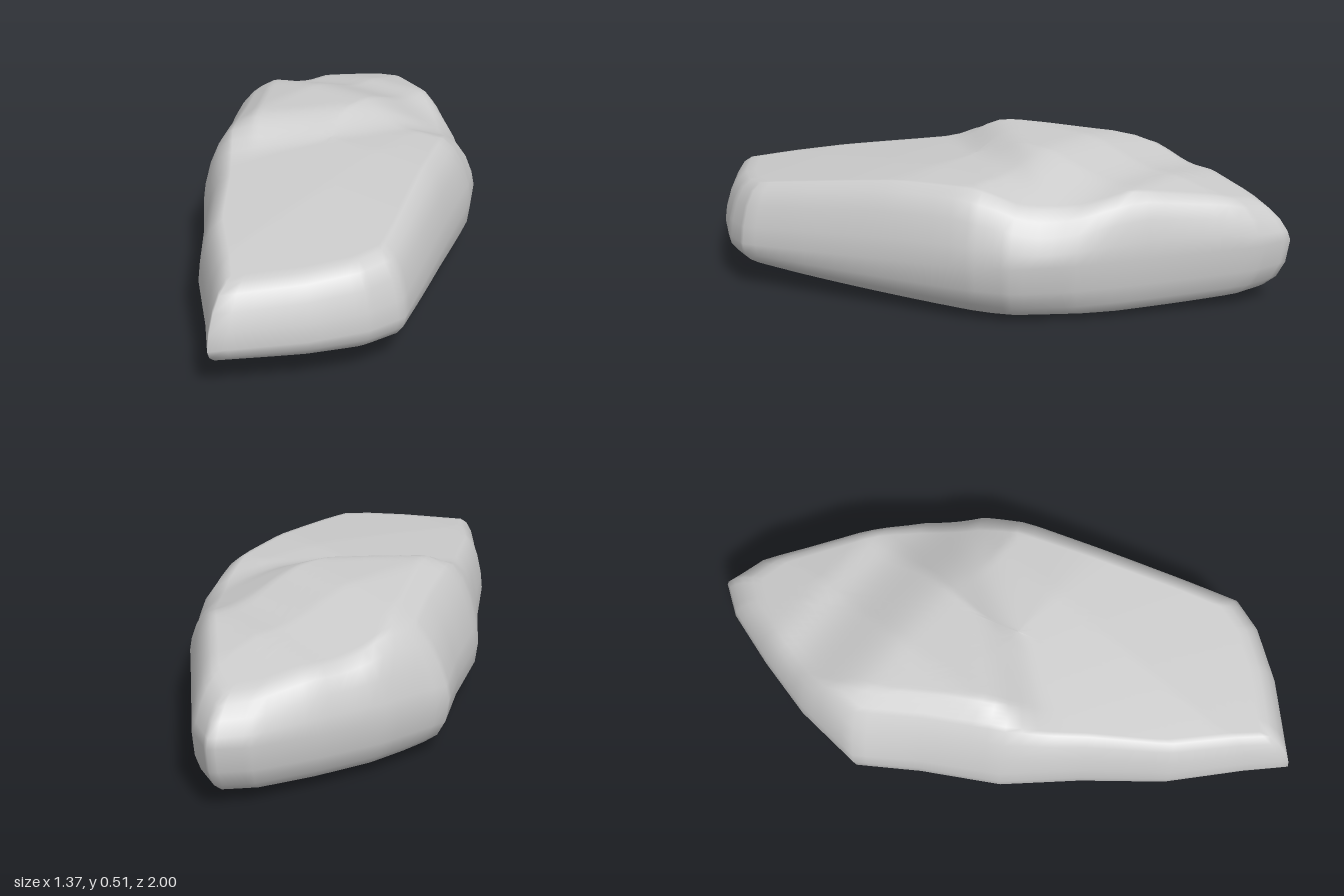
import * as THREE from 'three';

// Plan outline of the boulder (x, z), starting at the back tip
const OUTLINE = [
  [-0.49, -1], [-0.36, -0.96], [-0.09, -0.77], [0.17, -0.59], [0.33, -0.44], [0.40, -0.31], [0.50, -0.02],
  [0.60, 0.26], [0.68, 0.49], [0.64, 0.62], [0.53, 0.78], [0.32, 1], [0.21, 0.89], [0, 0.70], [-0.20, 0.46],
  [-0.40, 0.25], [-0.55, 0], [-0.685, -0.19], [-0.67, -0.45], [-0.62, -0.68], [-0.56, -0.89],
];
const SUBDIV = 5;
const { lerp, smoothstep, clamp } = THREE.MathUtils;

// Gently convex underside, rising towards the left and front ends
const bottomY = (x, z) => 0.045 * (z + 0.1) ** 2 + 0.06 * x * x
  + 0.12 * Math.max(0, x - 0.3) + 0.08 * Math.max(0, z - 0.6);
// Height of the widest line around the boulder
const middleY = (x, z) => 0.19 - 0.04 * z;

// Upper surface: a raised plateau at the back that eases over a crest to a sloping front slab
function topY(x, z) {
  const slab = 0.45 - 0.1 * Math.max(0, z) - 0.03 * z * z
    - 0.05 * Math.max(0, x - 0.2) - 0.3 * Math.max(0, -z - 0.25);
  const plateau = 0.51 - 0.075 * smoothstep(-z, 0.25, 0.58) - 0.22 * Math.max(0, -z - 0.65)
    - 0.15 * Math.max(0, -0.3 - x) - 0.35 * Math.max(0, x + 0.05)
    - 0.5 * Math.max(0, -0.84 * x + 0.54 * z - 0.28);
  const crest = 0.79 * x + 0.61 * z + 0.105;
  return lerp(plateau, slab, smoothstep(crest, -0.06, 0.14));
}

// Pull a point of the outline towards the long axis of the boulder
function inset([x, z], t) {
  const s = clamp((x * 0.25 + z * 0.5) / 0.3125, -1, 1);
  return [lerp(x, 0.25 * s, t), lerp(z, 0.5 * s, t)];
}

export function createModel() {
  const edge = OUTLINE.flatMap((p, i) => {
    const q = OUTLINE[(i + 1) % OUTLINE.length];
    return Array.from({ length: SUBDIV }, (_, k) => [lerp(p[0], q[0], k / SUBDIV), lerp(p[1], q[1], k / SUBDIV)]);
  });

  const positions = [], index = [];
  const addRing = (t, scale, height) => edge.forEach((p) => {
    const [x, z] = inset(p, t).map((v) => v * scale);
    positions.push(x, height(x, z), z);
  });

  // Underside, from its centre outwards
  for (let i = 0; i < 8; i++) addRing(0.24, i / 8, bottomY);
  // Rounded lower flank
  for (const [t, k] of [[0.24, 0], [0.15, 0.07], [0.07, 0.25], [0.02, 0.55]])
    addRing(t, 1, (x, z) => lerp(bottomY(x, z), middleY(x, z), k));
  // Rounded upper flank
  for (const [t, k] of [[0, 0], [0.02, 0.3], [0.07, 0.65], [0.14, 0.89], [0.22, 1]])
    addRing(t, 1, (x, z) => lerp(middleY(x, z), topY(x, z), k));
  // Upper surface, closing to its centre
  for (let i = 23; i >= 0; i--) addRing(0.22, i / 24, topY);

  const n = edge.length, rings = positions.length / 3 / n;
  for (let r = 0; r < rings - 1; r++) {
    for (let i = 0; i < n; i++) {
      const a = r * n + i, b = r * n + (i + 1) % n;
      if (r > 0) index.push(a, a + n, b);
      if (r < rings - 2) index.push(b, a + n, b + n);
    }
  }

  const geometry = new THREE.BufferGeometry();
  geometry.setAttribute('position', new THREE.Float32BufferAttribute(positions, 3));
  geometry.setIndex(index);
  geometry.computeVertexNormals();

  const boulder = new THREE.Mesh(geometry, new THREE.MeshStandardMaterial({ color: 0xcccccc }));
  boulder.name = 'boulder';
  const group = new THREE.Group();
  group.name = 'rock';
  group.add(boulder);
  return group;
}
